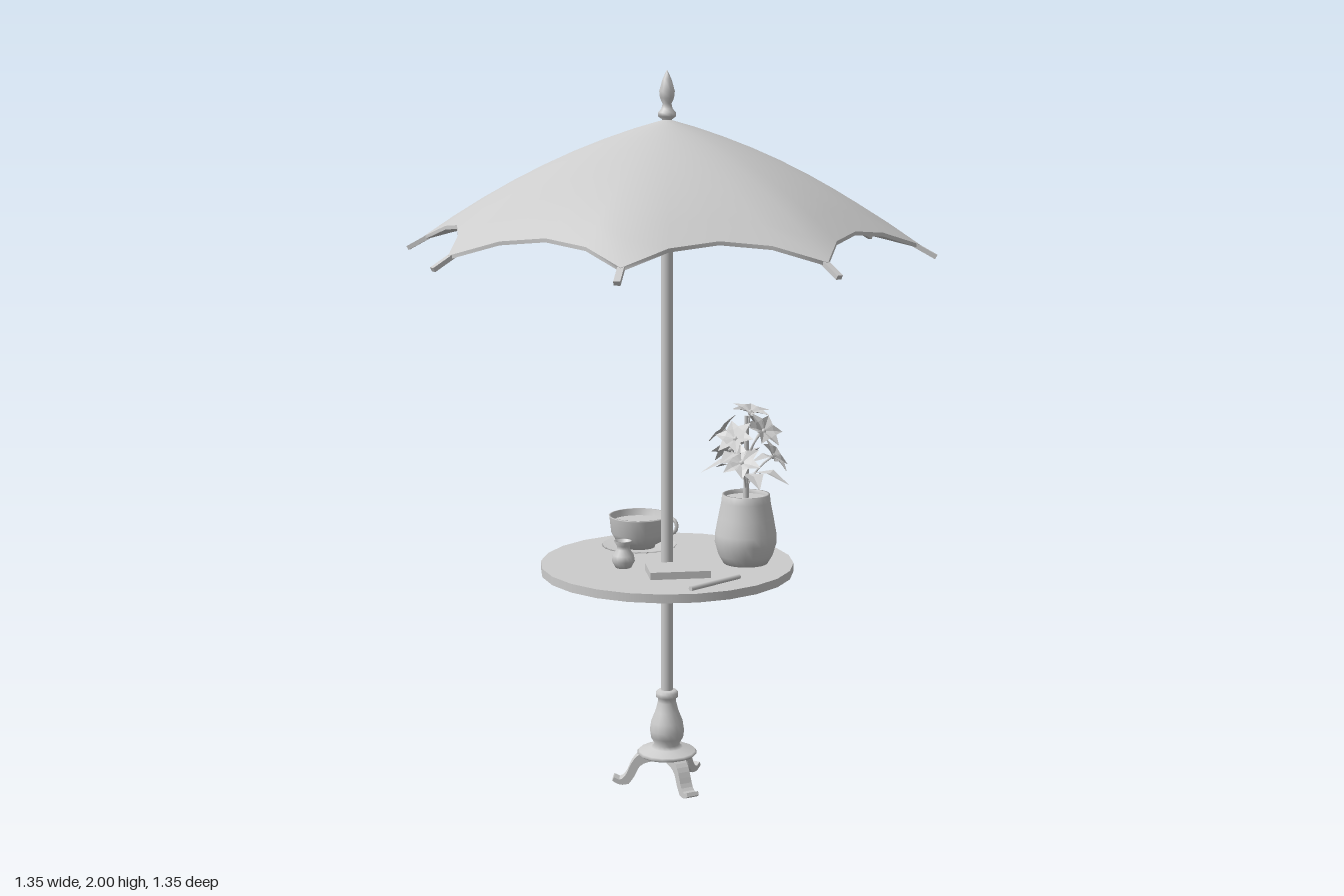
import * as THREE from 'three';

const grey = new THREE.MeshStandardMaterial({ color: 0xcccccc, side: THREE.DoubleSide });
grey.name = 'plain grey';

function add(parent, name, geometry, x = 0, y = 0, z = 0) {
  const mesh = new THREE.Mesh(geometry, grey);
  mesh.name = name;
  mesh.position.set(x, y, z);
  parent.add(mesh);
  return mesh;
}

function group(parent, name, x = 0, y = 0, z = 0) {
  const g = new THREE.Group();
  g.name = name;
  g.position.set(x, y, z);
  parent.add(g);
  return g;
}

const lathe = (pts, sides = 24) => new THREE.LatheGeometry(pts.map(p => new THREE.Vector2(...p)), sides);

// Height of the canopy at a distance from the pole
const domeHeight = r => 1.87 - 0.264 * r - 0.316 * r * r;

// Canopy: a round dome cut to eight scalloped panels
function canopyPoint(t, i) {
  const panel = Math.floor(i / 4), u = (i % 4) / 4;
  const mid = (panel * Math.PI) / 4;
  const bow = 4 * u * (1 - u);
  const out = 0.628 - 0.058 * bow, side = (u - 0.5) * 0.522;
  const c = Math.cos(mid), s = Math.sin(mid);
  const x = t * (out * c - side * s), z = t * (out * s + side * c);
  return [x, domeHeight(Math.hypot(x, z)) - 0.02 * bow * t ** 4, z];
}

// Lower edge of the hem, and the nearly flat lining that closes the canopy
function hemPoint(i, drop) {
  const [x, y, z] = canopyPoint(1, i);
  return [x, y - drop, z];
}

function liningPoint(t, i) {
  const [x, y, z] = hemPoint(i, 0.01);
  return [x * t, 1.605 + (y - 1.605) * t ** 3, z * t];
}

function gridGeometry(rows, cols, point, flip) {
  const pos = [], index = [];
  for (let j = 0; j <= rows; j++) for (let i = 0; i < cols; i++) pos.push(...point(j, i));
  for (let j = 0; j < rows; j++) for (let i = 0; i < cols; i++) {
    const n = (i + 1) % cols;
    const a = j * cols + i, b = j * cols + n, c = a + cols, d = b + cols;
    if (flip) index.push(a, c, b, b, c, d);
    else index.push(a, b, c, b, d, c);
  }
  const g = new THREE.BufferGeometry();
  g.setAttribute('position', new THREE.Float32BufferAttribute(pos, 3));
  g.setIndex(index);
  g.computeVertexNormals();
  return g;
}

function addUmbrella(root) {
  const g = group(root, 'umbrella');
  const rows = 8;
  const at = j => 0.005 + 0.995 * j / rows;
  add(g, 'canopyTop', gridGeometry(rows, 32, (j, i) => canopyPoint(at(j), i), true));
  add(g, 'canopyLining', gridGeometry(rows, 32, (j, i) => liningPoint(at(j), i), false));
  add(g, 'canopyHem', gridGeometry(1, 32, (j, i) => hemPoint(i, j * 0.01), true));
  // Rib ends poking out at the corners
  const r0 = 0.66, r1 = 0.725, y0 = domeHeight(r0) - 0.011, y1 = domeHeight(r1) - 0.001;
  for (let k = 0; k < 8; k++) {
    const arm = group(g, 'ribArm');
    arm.rotation.y = (k + 0.5) * Math.PI / 4;
    const rib = add(arm, 'ribTip', new THREE.BoxGeometry(Math.hypot(r1 - r0, y1 - y0), 0.012, 0.017),
      (r0 + r1) / 2, (y0 + y1) / 2, 0);
    rib.rotation.z = Math.atan2(y1 - y0, r1 - r0);
  }
  add(g, 'finial', lathe([[0.012, 1.85], [0.013, 1.868], [0.024, 1.876], [0.024, 1.887], [0.015, 1.897],
    [0.012, 1.91], [0.019, 1.925], [0.021, 1.943], [0.012, 1.975], [0, 2]], 6));
}

function addStand(root) {
  const g = group(root, 'stand');
  add(g, 'pole', new THREE.CylinderGeometry(0.016, 0.017, 1.36, 12), 0, 0.94, 0);
  add(g, 'turnedBase', lathe([[0, 0.085], [0.078, 0.088], [0.085, 0.094], [0.08, 0.1], [0.045, 0.11],
    [0.034, 0.118], [0.046, 0.14], [0.049, 0.16], [0.045, 0.185], [0.033, 0.215], [0.026, 0.242],
    [0.026, 0.254], [0.032, 0.258], [0.032, 0.27], [0.025, 0.277], [0, 0.279]], 16));
  // Three curved legs
  const s = new THREE.Shape();
  s.moveTo(0.03, 0.092);
  s.lineTo(0.075, 0.092);
  s.quadraticCurveTo(0.095, 0.08, 0.107, 0.05);
  s.quadraticCurveTo(0.118, 0.018, 0.135, 0.015);
  s.lineTo(0.15, 0.022);
  s.lineTo(0.155, 0.012);
  s.quadraticCurveTo(0.14, 0, 0.125, 0);
  s.lineTo(0.108, 0.003);
  s.quadraticCurveTo(0.09, 0.025, 0.083, 0.045);
  s.quadraticCurveTo(0.075, 0.068, 0.03, 0.072);
  const legShape = new THREE.ExtrudeGeometry(s, { depth: 0.036, bevelEnabled: false, curveSegments: 4 });
  legShape.translate(0, 0, -0.018);
  for (const a of [90, -30, 210]) add(g, 'leg', legShape).rotation.y = THREE.MathUtils.degToRad(a);
}

function addCup(root) {
  const g = group(root, 'teacup', -0.148, 0.648, -0.087);
  add(g, 'saucer', lathe([[0, 0.001], [0.06, 0.001], [0.107, 0.012], [0.105, 0.015], [0.06, 0.006], [0, 0.006]]));
  add(g, 'cup', lathe([[0, 0.007], [0.045, 0.007], [0.045, 0.014], [0.065, 0.025], [0.08, 0.05], [0.085, 0.096],
    [0.087, 0.099], [0.081, 0.099], [0.075, 0.052], [0.05, 0.022], [0, 0.018]]));
  add(g, 'tea', new THREE.CircleGeometry(0.079, 24), 0, 0.08, 0).rotation.x = -Math.PI / 2;
  add(g, 'cupHandle', new THREE.TorusGeometry(0.022, 0.006, 6, 14), 0.104, 0.081, 0);
}

// Folded leaf pointing along +x
function leafGeometry(length, width, droop) {
  const g = new THREE.BufferGeometry();
  const h = length * 0.5;
  g.setAttribute('position', new THREE.Float32BufferAttribute([
    0, 0, 0, h, 0.006, width, h, 0, 0, h, 0.006, -width, length, -droop, 0], 3));
  g.setIndex([0, 1, 2, 1, 4, 2, 0, 2, 3, 2, 4, 3]);
  const flat = g.toNonIndexed();
  flat.computeVertexNormals();
  return flat;
}

function addPlant(root) {
  const g = group(root, 'pottedPlant', 0.19, 0.648, -0.108);
  add(g, 'pot', lathe([[0, 0.001], [0.062, 0.001], [0.076, 0.025], [0.086, 0.06], [0.085, 0.085], [0.077, 0.13],
    [0.068, 0.175], [0.066, 0.196], [0.06, 0.196], [0.06, 0.18]]));
  add(g, 'soil', new THREE.CircleGeometry(0.062, 20), 0, 0.185, 0).rotation.x = -Math.PI / 2;
  add(g, 'mainStem', new THREE.CylinderGeometry(0.006, 0.008, 0.24, 6), 0, 0.295, 0);

  // Flower heads: x, y, z of each head, facing outward
  const heads = [[0.012, 0.425, 0], [-0.06, 0.37, 0.02], [0.062, 0.38, 0.015], [0.0, 0.36, 0.06],
    [0.01, 0.365, -0.065], [-0.065, 0.31, -0.025], [0.07, 0.305, -0.025], [0.02, 0.295, 0.06]];
  const petal = leafGeometry(0.06, 0.018, 0.006);
  const up = new THREE.Vector3(0, 1, 0);
  for (const [x, y, z] of heads) {
    const flower = group(g, 'flower', x, y, z);
    flower.quaternion.setFromUnitVectors(up, new THREE.Vector3(x, 0.06, z).normalize());
    for (let k = 0; k < 6; k++) {
      const p = add(flower, 'petal', petal);
      p.rotation.set(0, k * Math.PI / 3, 0.25, 'YXZ');
    }
    add(flower, 'flowerCentre', new THREE.SphereGeometry(0.008, 6, 4));
    const curve = new THREE.QuadraticBezierCurve3(new THREE.Vector3(0, y - 0.09, 0),
      new THREE.Vector3(x * 0.4, y - 0.03, z * 0.4), new THREE.Vector3(x, y, z));
    add(g, 'twig', new THREE.TubeGeometry(curve, 4, 0.003, 5));
  }
  // Larger leaves below the flowers
  const leaf = leafGeometry(0.11, 0.028, 0.03);
  for (let k = 0; k < 7; k++) {
    const l = add(g, 'leaf', leaf, 0, 0.255 + (k % 3) * 0.025, 0);
    l.rotation.set(0, k * 2 * Math.PI / 7 + 0.15, 0.05 + (k % 2) * 0.15, 'YXZ');
    l.translateX(0.015);
  }
}

export function createModel() {
  const root = new THREE.Group();
  root.name = 'parasolTable';
  addUmbrella(root);
  addStand(root);
  add(root, 'tableTop', new THREE.CylinderGeometry(0.352, 0.352, 0.024, 24), 0, 0.636, 0);
  addCup(root);
  addPlant(root);

  // Small vase, book and pen on the table
  add(root, 'smallVase', lathe([[0, 0.001], [0.022, 0.001], [0.032, 0.02], [0.029, 0.036], [0.018, 0.052],
    [0.018, 0.062], [0.026, 0.076], [0.02, 0.076], [0.012, 0.06], [0, 0.058]], 16), -0.068, 0.648, 0.118);
  const book = add(root, 'book', new THREE.BoxGeometry(0.165, 0.02, 0.11), 0.097, 0.658, 0.1);
  book.rotation.y = THREE.MathUtils.degToRad(40);
  const pen = add(root, 'pen', new THREE.CylinderGeometry(0.007, 0.007, 0.185, 8), 0.243, 0.655, 0.147);
  pen.rotation.set(Math.PI / 2, Math.PI - 0.24, 0, 'YXZ');
  return root;
}
